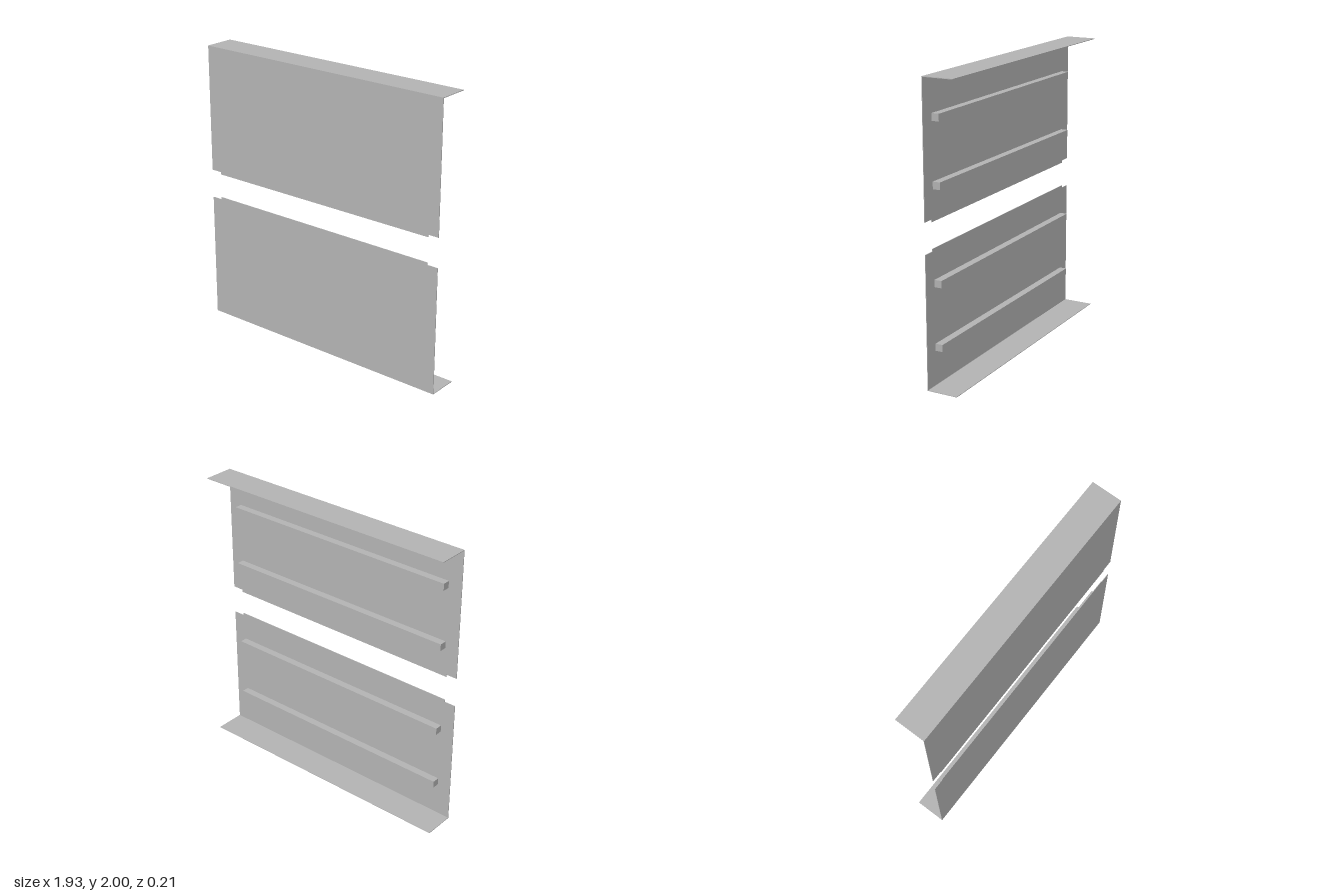
import * as THREE from 'three';

const W = 0.967;      // half width
const D = 0.107;      // half depth
const T = 0.004;      // sheet thickness

export function createModel() {
  const model = new THREE.Group();
  const grey = new THREE.MeshStandardMaterial({ color: 0xb2b2b2 });
  grey.name = 'sheetGrey';

  function box(name, w, h, d, y, z) {
    const mesh = new THREE.Mesh(new THREE.BoxGeometry(w, h, d), grey);
    mesh.name = name;
    mesh.position.set(0, y, z);
    return mesh;
  }

  // Sheet outline, with notched corners along the inner edge
  function sheetGeometry(outer, shoulder, inner) {
    const shape = new THREE.Shape([
      [-W, outer], [W, outer], [W, shoulder], [0.888, shoulder],
      [0.888, inner], [-0.888, inner], [-0.888, shoulder], [-W, shoulder],
    ].map(([x, y]) => new THREE.Vector2(x, y)));
    return new THREE.ExtrudeGeometry(shape, { depth: T, bevelEnabled: false });
  }

  // Lower panel and its mirror image above
  for (const upper of [false, true]) {
    const panel = new THREE.Group();
    panel.name = upper ? 'upperPanel' : 'lowerPanel';
    const my = (y) => (upper ? 2 - y : y);

    const sheet = new THREE.Mesh(sheetGeometry(my(0), my(0.897), my(0.914)), grey);
    sheet.name = 'frontSheet';
    sheet.position.z = D - T;
    panel.add(sheet);

    // Flange turned back along the outer edge
    panel.add(box('flange', W * 2, T, D * 2 - T, my(T / 2), -T / 2));

    // Stiffening bars behind the sheet
    for (const y of [0.261, 0.685]) {
      panel.add(box('stiffener', 1.74, 0.048, 0.051, my(y), 0.0775));
    }
    model.add(panel);
  }
  return model;
}
